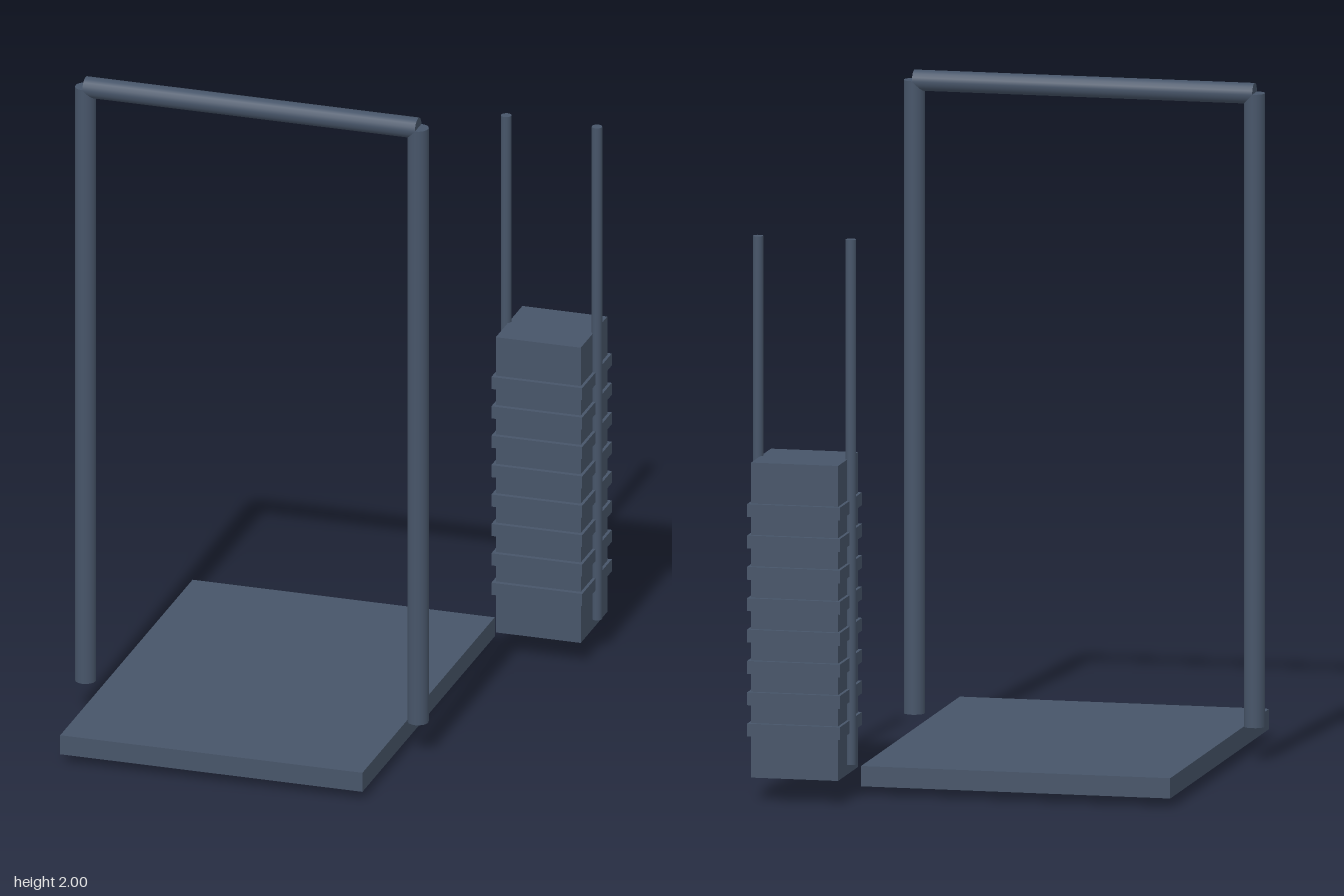
import * as THREE from 'three';

export function createModel() {
  const model = new THREE.Group();
  model.name = 'treadmillFrameWithWeightStack';
  const steel = new THREE.MeshStandardMaterial({ color: 0x475569 });

  const add = (name, geometry, x, y, z, parent = model) => {
    const mesh = new THREE.Mesh(geometry, steel);
    mesh.name = name;
    mesh.position.set(x, y, z);
    parent.add(mesh);
    return mesh;
  };
  const rod = (radius, length) => new THREE.CylinderGeometry(radius, radius, length, 16);

  // Deck with the roller beneath its rear end
  add('deck', new THREE.BoxGeometry(0.925, 0.06, 1.245), -0.118, 0.056, 0.093);
  add('roller', rod(0.02, 0.555), -0.118, 0.02, -0.365).rotation.z = Math.PI / 2;

  // Upright frame: two posts and a crossbar
  const frame = new THREE.Group();
  frame.name = 'frame';
  model.add(frame);
  const frameZ = 0.325, leftX = 0.388, rightX = -0.63;
  add('leftPost', rod(0.031, 1.87), leftX, 1.035, frameZ, frame);
  add('rightPost', rod(0.031, 1.87), rightX, 1.035, frameZ, frame);
  add('crossbar', rod(0.031, leftX - rightX), (leftX + rightX) / 2, 1.969, frameZ, frame)
    .rotation.z = Math.PI / 2;

  // Weight stack: core, eight plates and two guide rods
  const stack = new THREE.Group();
  stack.name = 'weightStack';
  stack.position.set(0.501, 0, -0.583);
  model.add(stack);
  add('stackCore', new THREE.BoxGeometry(0.26, 0.93, 0.25), 0, 0.535, 0, stack);
  for (let i = 0; i < 8; i++) {
    add('weightPlate', new THREE.BoxGeometry(0.278, 0.038, 0.278), 0, 0.212 + i * 0.0926, 0, stack);
  }
  for (const side of [-1, 1]) {
    add('guideRod', rod(0.0155, 1.55), side * 0.139, 0.874, 0, stack);
  }
  return model;
}
